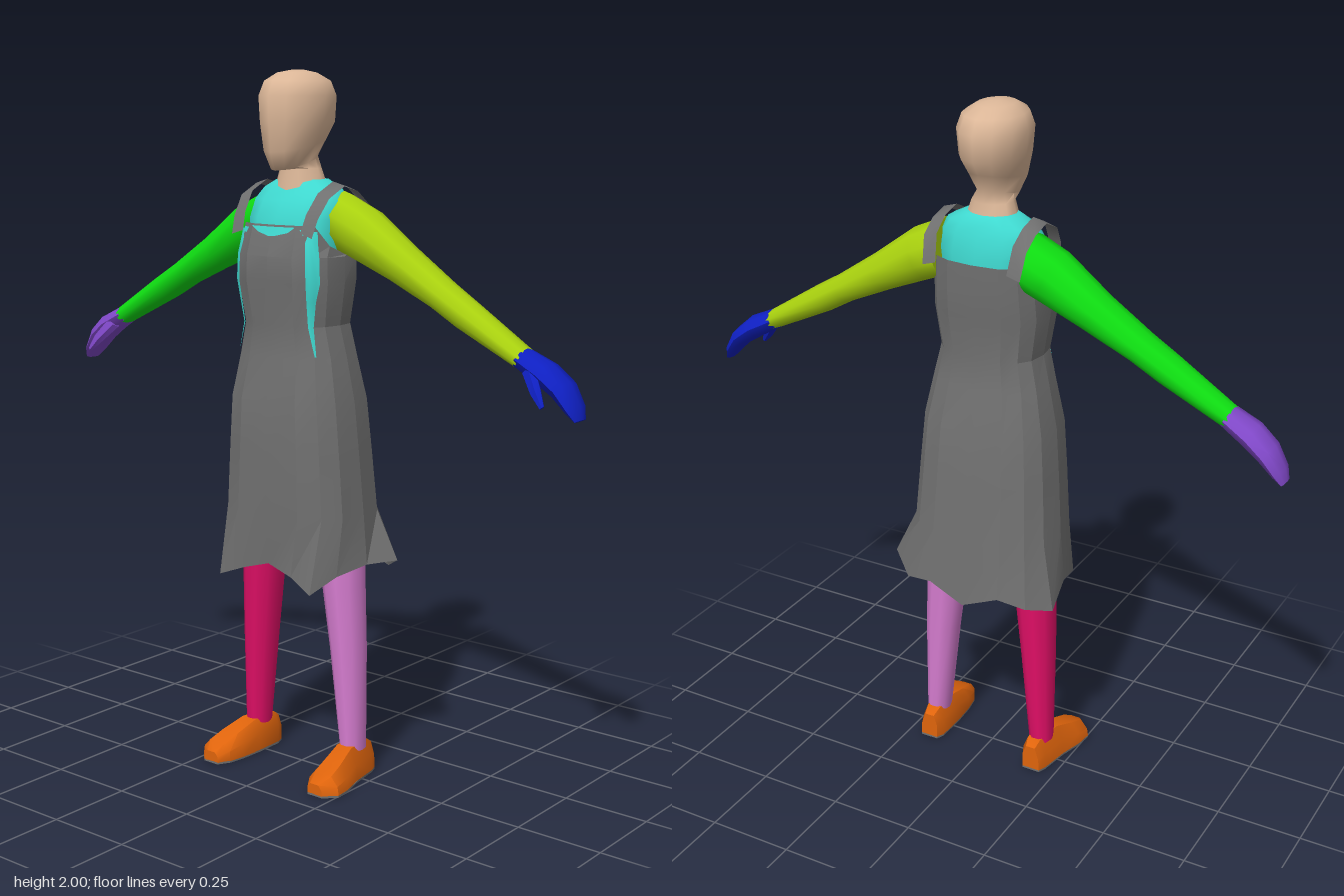
import * as THREE from 'three';
import { toCreasedNormals } from 'three/addons/utils/BufferGeometryUtils.js';

const V = (x, y, z) => new THREE.Vector3(x, y, z);
const mat = (name, color) => {
  const m = new THREE.MeshStandardMaterial({ color });
  m.name = name;
  return m;
};

// Skin a list of equal-sized point rings; faces are turned outward automatically
function loft(rings, crease = 0.9, closed = true, around = true) {
  const n = rings[0].length, pts = rings.flat(), idx = [];
  for (let i = 0; i < rings.length - 1; i++) {
    for (let j = 0; j < (around ? n : n - 1); j++) {
      const k = (j + 1) % n, a = i * n + j, b = i * n + k;
      idx.push(a, b, b + n, a, b + n, a + n);
    }
  }
  if (closed) {
    const e = (rings.length - 1) * n;
    for (let j = 1; j < n - 1; j++) idx.push(0, j + 1, j, e, e + j, e + j + 1);
    let vol = 0;
    for (let i = 0; i < idx.length; i += 3) {
      vol += pts[idx[i]].dot(pts[idx[i + 1]].clone().cross(pts[idx[i + 2]]));
    }
    if (vol < 0) idx.reverse();
  }
  const g = new THREE.BufferGeometry().setFromPoints(pts);
  g.setIndex(idx);
  return toCreasedNormals(g, crease);
}

// Horizontal ring: half width, front z, back z, extra height at the front, squareness
function bodyRing([y, w, zf, zb, lift = 0], n, power = 1) {
  const mid = (zf + zb) / 2, half = (zf - zb) / 2;
  const soft = (v) => Math.sign(v) * Math.pow(Math.abs(v), power);
  return Array.from({ length: n }, (_, j) => {
    const t = (j / n) * Math.PI * 2, c = Math.cos(t);
    return V(w * soft(Math.sin(t)), y + lift * c, mid + half * soft(c));
  });
}

// Rings across a limb: centre x, y, z, radius in the x-y plane, radius in z, angle in degrees
function limbRings(rows, side, n = 10) {
  return rows.map(([x, y, z, r, rz, deg]) => {
    const a = THREE.MathUtils.degToRad(deg);
    return Array.from({ length: n }, (_, j) => {
      const t = (j / n) * Math.PI * 2, c = Math.cos(t) * r;
      return V(side * (x - Math.sin(a) * c), y + Math.cos(a) * c, z + Math.sin(t) * rz);
    });
  });
}

export function createModel() {
  const model = new THREE.Group();
  const skin = mat('skin', 0xdcb798), shirt = mat('turquoise', 0x3fd9d0);
  const cloth = mat('grey', 0x707070), shoe = mat('orange', 0xdf640c);
  cloth.side = shirt.side = THREE.DoubleSide;
  const sides = [
    { side: 1, name: 'left', arm: mat('lime', 0xaad20f), hand: mat('blue', 0x0f20c4), leg: mat('pink', 0xd87ed2) },
    { side: -1, name: 'right', arm: mat('green', 0x0fde12), hand: mat('purple', 0x8048c8), leg: mat('crimson', 0xe00f66) },
  ];
  const add = (name, geometry, material) => {
    const m = new THREE.Mesh(geometry, material);
    m.name = name;
    model.add(m);
  };

  // Head and neck
  add('head', loft([
    [1.66, 0.085, 0.07, -0.07], [1.735, 0.06, 0.06, -0.05], [1.75, 0.048, 0.115, -0.052, -0.02],
    [1.8, 0.072, 0.135, -0.08, -0.02], [1.86, 0.09, 0.142, -0.107], [1.93, 0.097, 0.144, -0.11],
    [1.97, 0.084, 0.125, -0.09], [1.992, 0.05, 0.085, -0.045], [2.0, 0.015, 0.035, 0.0],
  ].map((r) => bodyRing(r, 12)), 1.3), skin);

  // Torso under the dress
  add('torso', loft([
    [0.92, 0.17, 0.1, -0.1], [1.1, 0.165, 0.11, -0.1], [1.25, 0.125, 0.1, -0.075], [1.4, 0.135, 0.115, -0.085],
    [1.52, 0.145, 0.12, -0.095], [1.6, 0.152, 0.112, -0.1], [1.65, 0.148, 0.085, -0.085],
    [1.68, 0.125, 0.065, -0.075], [1.705, 0.075, 0.05, -0.06],
  ].map((r) => bodyRing(r, 14, 0.85)), 1.2), shirt);

  // Dress: bodice, waist, skirt and a jagged hem (x, y, z, front first, then round by the left)
  const N = 16;
  const hem = [
    [0, 0.635, 0.15], [0.085, 0.61, 0.155], [0.165, 0.575, 0.17], [0.205, 0.62, 0.1],
    [0.235, 0.64, 0.0], [0.275, 0.64, -0.09], [0.2, 0.6, -0.15], [0.11, 0.62, -0.175],
    [0, 0.575, -0.182], [-0.11, 0.62, -0.175], [-0.19, 0.6, -0.155], [-0.25, 0.585, -0.1],
    [-0.235, 0.635, 0.0], [-0.215, 0.61, 0.1], [-0.165, 0.58, 0.17], [-0.085, 0.61, 0.155],
  ].map((p) => V(...p));
  const dressRows = [
    [0.78, 0.222, 0.163, -0.165], [0.95, 0.21, 0.16, -0.148], [1.1, 0.197, 0.158, -0.135],
    [1.22, 0.172, 0.135, -0.107], [1.31, 0.15, 0.132, -0.097], [1.43, 0.168, 0.15, -0.11],
    [1.5, 0.164, 0.15, -0.117], [1.585, 0.158, 0.125, -0.118],
  ].map((r) => bodyRing(r, N, 0.75));
  // Armholes dip at the sides of the top edge
  const top = dressRows[dressRows.length - 1];
  [3, 4, 5, 11, 12, 13].forEach((j) => { top[j].y = j % 8 === 4 ? 1.505 : 1.53; });
  const dress = [hem, ...dressRows];
  add('dress', loft(dress, 0.3, false), cloth);

  // A point lying just outside the dress at ring position u and height y
  const onDress = (u, y) => {
    const j = Math.floor(u), f = u - j;
    const line = dress.map((r) => r[(j + N) % N].clone().lerp(r[(j + 1 + N) % N], f));
    let i = 0;
    while (i < line.length - 2 && line[i + 1].y < y) i++;
    const p = line[i].clone().lerp(line[i + 1], (y - line[i].y) / (line[i + 1].y - line[i].y));
    return p.add(V(p.x, 0, p.z).normalize().multiplyScalar(0.005));
  };
  // Turquoise slivers showing through the bodice: height, start and end around the ring
  const slivers = [
    [[1.57, 1.75, 2.2], [1.54, 1.6, 2.3], [1.5, 1.7, 2.5], [1.43, 1.7, 2.5], [1.38, 1.75, 2.3], [1.31, 1.85, 2.2], [1.23, 2.0, 2.1]],
    [[1.575, 1.2, 1.75], [1.56, 1.4, 1.75]],
  ];
  sides.forEach(({ side, name }) => slivers.forEach((rows) => {
    const strip = rows.map(([y, a, b]) =>
      [0, 0.25, 0.5, 0.75, 1].map((t) => onDress(side * (a + (b - a) * t), y)));
    add(name + 'BodicePatch', loft(strip, 0.9, false, false), shirt);
  }));
  // Scooped neckline
  const scoop = [[1.58, -0.95, 0.95], [1.565, -0.6, 0.7], [1.555, -0.1, 0.15]].map(([y, a, b]) =>
    [0, 0.25, 0.5, 0.75, 1].map((t) => onDress(a + (b - a) * t, y)));
  add('neckline', loft(scoop, 0.9, false, false), shirt);

  sides.forEach(({ side, name, arm, hand, leg }) => {
    // Shoulder strap: a flat band over the shoulder
    const strap = [
      [0.122, 1.56, 0.133], [0.128, 1.61, 0.115], [0.136, 1.665, 0.075], [0.137, 1.695, 0.01],
      [0.137, 1.68, -0.05], [0.135, 1.645, -0.1], [0.128, 1.57, -0.122],
    ].map(([x, y, z]) => [V(side * (x - 0.02), y + 0.006, z), V(side * (x + 0.02), y - 0.006, z)]);
    add(name + 'Strap', loft(strap, 0.9, false, false), cloth);

    // Arm, hand and thumb
    add(name + 'Arm', loft(limbRings([
      [0.13, 1.59, -0.025, 0.085, 0.08, 0], [0.2, 1.56, -0.027, 0.075, 0.08, -22],
      [0.33, 1.485, -0.03, 0.055, 0.066, -30], [0.46, 1.412, -0.028, 0.042, 0.058, -30],
      [0.54, 1.365, -0.026, 0.041, 0.053, -30], [0.72, 1.265, -0.025, 0.028, 0.043, -30],
    ], side)), arm);
    add(name + 'Hand', loft(limbRings([
      [0.712, 1.27, -0.025, 0.029, 0.044, -30], [0.78, 1.235, -0.03, 0.033, 0.053, -32],
      [0.83, 1.197, -0.035, 0.028, 0.054, -42], [0.865, 1.15, -0.035, 0.018, 0.045, -55],
      [0.88, 1.122, -0.035, 0.008, 0.028, -60],
    ], side, 8)), hand);
    add(name + 'Thumb', loft(limbRings([
      [0.745, 1.245, 0.0, 0.022, 0.02, -45], [0.785, 1.195, 0.028, 0.017, 0.017, -48],
      [0.812, 1.158, 0.04, 0.007, 0.008, -50],
    ], side, 6)), hand);

    // Leg
    add(name + 'Leg', loft(limbRings([
      [0.1, 1.0, -0.005, 0.085, 0.09, -90], [0.13, 0.78, -0.005, 0.074, 0.078, -90],
      [0.148, 0.57, -0.007, 0.06, 0.066, -90], [0.162, 0.38, -0.012, 0.05, 0.058, -90],
      [0.178, 0.08, -0.016, 0.034, 0.044, -90],
    ], side)), leg);

    // Shoe and sole: z, inner x, outer x, height
    const footRows = [
      [-0.085, 0.15, 0.205, 0.08], [-0.06, 0.14, 0.215, 0.097], [0.03, 0.138, 0.23, 0.097],
      [0.1, 0.142, 0.25, 0.073], [0.15, 0.15, 0.255, 0.055], [0.184, 0.17, 0.222, 0.035],
    ];
    const footRings = (low, high) => footRows.map(([z, a, b, h]) => {
      const up = high ?? h, w = b - a, inset = high ? 0 : w * 0.2;
      return [[a, low], [b, low], [b - inset * 0.2, low + (up - low) * 0.5], [b - inset * 1.3, up], [a + inset, up], [a, low + (up - low) * 0.6]]
        .map(([x, y]) => V(side * x, y, z));
    });
    add(name + 'Shoe', loft(footRings(0.005), 0.75), shoe);
    add(name + 'Sole', loft(footRings(0, 0.006), 0.3), cloth);
  });
  return model;
}
